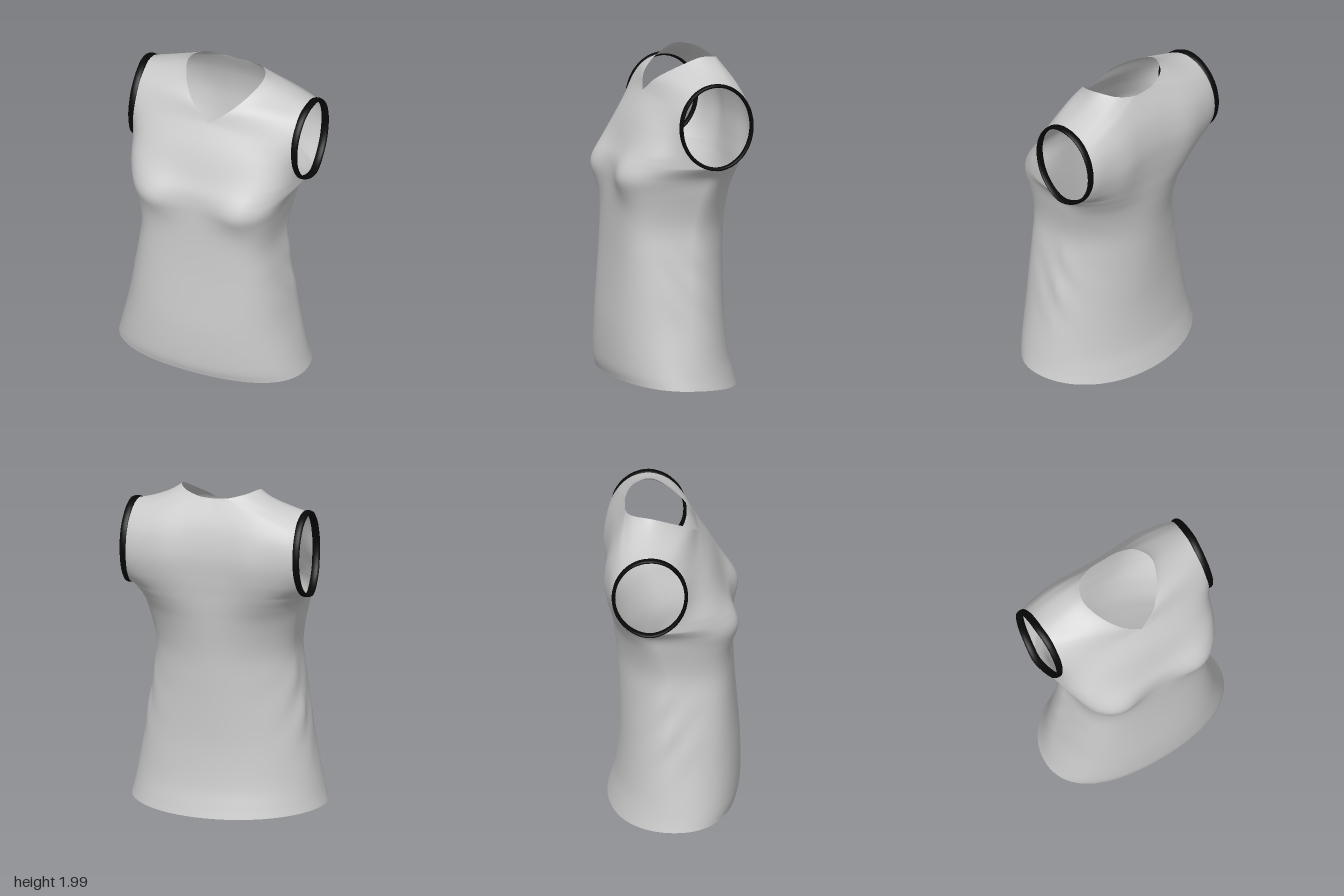
import * as THREE from 'three';
import { mergeVertices } from 'three/addons/utils/BufferGeometryUtils.js';

const V = (x, y, z) => new THREE.Vector3(x, y, z);
const { lerp, smoothstep, degToRad } = THREE.MathUtils;
const STEPS = 8;   // rows between two key sections
const COLS = 28;   // columns from side to centre

// Torso sections: height, half width, side z, front z, back z, front and back squareness
const TORSO = [
  [0.042, 0.6, 0.04, 0.385, -0.39, 0.63, 0.57],
  [0.1, 0.585, 0.04, 0.398, -0.372, 0.64, 0.57],
  [0.2, 0.563, 0.03, 0.403, -0.345, 0.66, 0.56],
  [0.4, 0.522, 0.01, 0.4, -0.322, 0.7, 0.54],
  [0.6, 0.489, 0, 0.385, -0.32, 0.75, 0.5],
  [0.8, 0.455, -0.01, 0.37, -0.325, 0.8, 0.47],
  [1.0, 0.432, -0.03, 0.36, -0.335, 0.84, 0.46],
  [1.2, 0.462, -0.08, 0.355, -0.36, 0.89, 0.49],
  [1.3, 0.488, -0.11, 0.352, -0.373, 0.92, 0.59],
  [1.373, 0.552, -0.14, 0.34, -0.38, 0.9, 0.69],
];
const BODY = TORSO.length - 1;

// Chest and back sections: armhole angle, armhole x, two handles, centre or neckline point
const SHOULDER = [180, 0.535, [0.45, 1.89, -0.14], [0.31, 1.935, -0.135], [0.245, 1.995, -0.13]];
const CHEST = [
  [40, 0.535, [0.485, 1.44, 0.27], [0.42, 1.46, 0.303], [0, 1.46, 0.303]],
  [75, 0.525, [0.45, 1.57, 0.195], [0.33, 1.61, 0.237], [0, 1.62, 0.237]],
  [110, 0.523, [0.43, 1.72, 0.12], [0.18, 1.76, 0.155], [0, 1.77, 0.152]],
  [145, 0.526, [0.42, 1.85, 0.025], [0.24, 1.885, 0.075], [0.115, 1.86, 0.105]],
  [163, 0.53, [0.43, 1.88, -0.055], [0.28, 1.92, -0.03], [0.21, 1.943, -0.01]],
  SHOULDER,
];
const UPPER_BACK = [
  [40, 0.541, [0.505, 1.44, -0.35], [0.33, 1.47, -0.39], [0, 1.48, -0.39]],
  [75, 0.537, [0.5, 1.57, -0.39], [0.29, 1.62, -0.394], [0, 1.63, -0.394]],
  [110, 0.537, [0.45, 1.73, -0.385], [0.25, 1.78, -0.365], [0, 1.79, -0.362]],
  [130, 0.536, [0.43, 1.815, -0.34], [0.2, 1.92, -0.305], [0, 1.955, -0.285]],
  [140, 0.535, [0.435, 1.84, -0.305], [0.23, 1.925, -0.29], [0.09, 1.962, -0.28]],
  [155, 0.535, [0.44, 1.87, -0.245], [0.3, 1.935, -0.235], [0.19, 1.985, -0.235]],
  SHOULDER,
];

function armhole(deg, x, dir) {
  const a = degToRad(deg);
  return V(x, 1.624 - 0.251 * Math.cos(a), -0.14 + dir * 0.217 * Math.sin(a));
}

// Four control points of a torso section, the hem dipping towards the back
function torsoSection([y, w, side, front, back, squareFront, squareBack], dir) {
  const depth = dir > 0 ? front : back;
  const k = dir > 0 ? squareFront : squareBack;
  const body = y < 1 ? w : Math.min(w, 0.5);
  const drop = (dir > 0 ? 0.03 : -0.042) * Math.max(0, 1 - y / 0.4);
  return [
    V(w, y, side),
    V(body, y + drop * 0.3, lerp(side, depth, k)),
    V(body * k, y + drop, depth),
    V(0, y + drop, depth),
  ];
}

const upperSection = ([deg, x, h1, h2, c], dir) => [armhole(deg, x, dir), V(...h1), V(...h2), V(...c)];

const bump = (x, y, cx, cy, rx, ry) => Math.exp(-(((x - cx) / rx) ** 2) - ((y - cy) / ry) ** 2);

// Bust, shoulder blades and the slanting folds at the waist
function drape(p, dir) {
  if (dir > 0) p.z += 0.05 * bump(p.x, p.y, 0.28, 1.3, 0.15, 0.13) * smoothstep(p.z, -0.1, 0.15);
  else p.z -= 0.02 * bump(p.x, p.y, 0.27, 1.56, 0.13, 0.25) * smoothstep(-p.z, 0.14, 0.32);
  const across = p.y - 0.62 - 1.5 * (p.z + 0.03);
  const fold = bump(p.z, p.y, -0.03, 0.65, 0.15, 0.22) * Math.cos(across * 22);
  if (p.x > 0.25) p.x += 0.005 * fold;
  return p;
}

// Smooth rail through key points, addressed by key number
function rail(points, start = 0) {
  const curve = new THREE.CatmullRomCurve3(points);
  return (s) => curve.getPoint((s - start) / (points.length - 1));
}

const torsoSide = rail(TORSO.map(([y, w, s]) => V(w, y, s)));

// Rows of points for half a panel, from the side or armhole to the centre or neckline
function panelRows(upper, other, dir) {
  const sections = [
    ...TORSO.map((s) => torsoSection(s, dir)),
    ...upper.map((s) => upperSection(s, dir)),
    upperSection(other[other.length - 2], -dir), // carries the curves over the shoulder
  ];
  const column = (k) => sections.map((s) => s[k]);
  const inner = rail(column(1)), outer = rail(column(2));
  const neck = sections.findLastIndex((s) => s[3].x === 0);
  const centreLine = rail(column(3).slice(0, neck + 1));
  const neckLine = rail(column(3).slice(neck), neck);
  const edgeKeys = [[0, TORSO[BODY][1]], ...upper];
  const armEdge = (s) => {
    const i = Math.min(Math.floor(s), upper.length - 1), f = s - i;
    const [a, b] = [edgeKeys[i], edgeKeys[i + 1]];
    return armhole(lerp(a[0], b[0], f), lerp(a[1], b[1], f), dir);
  };
  const rows = [];
  for (let r = 0; r <= (BODY + upper.length) * STEPS; r++) {
    const s = r / STEPS;
    const curve = new THREE.CubicBezierCurve3(
      s <= BODY ? torsoSide(s) : armEdge(s - BODY),
      inner(s),
      outer(s),
      s <= neck ? centreLine(s) : neckLine(s),
    );
    rows.push(curve.getPoints(COLS).map((p) => drape(p, dir)));
  }
  return rows;
}

// Surface from one or more grids of points; each grid may be flipped
function surface(grids) {
  const pos = [], index = [];
  for (const { rows, mirror, flip } of grids) {
    const base = pos.length / 3, n = rows[0].length;
    rows.forEach((row) => row.forEach((p) => pos.push(p.x * mirror, p.y, p.z)));
    for (let r = 0; r < rows.length - 1; r++) {
      for (let i = 0; i < n - 1; i++) {
        const a = base + r * n + i, b = a + 1, c = a + n, d = c + 1;
        if (flip) index.push(a, b, c, b, d, c);
        else index.push(a, c, b, b, c, d);
      }
    }
  }
  let g = new THREE.BufferGeometry();
  g.setAttribute('position', new THREE.Float32BufferAttribute(pos, 3));
  g.setIndex(index);
  g = mergeVertices(g, 1e-4);
  g.computeVertexNormals();
  return g;
}

// Flattened ring around the armhole edge
function bandRows(edge) {
  const loop = new THREE.CatmullRomCurve3(edge, true);
  const rows = [];
  for (let r = 0; r <= 96; r++) {
    const p = loop.getPoint((r % 96) / 96);
    const out = V(0, p.y - 1.624, p.z + 0.14).normalize();
    const row = [];
    for (let i = 0; i <= 12; i++) {
      const a = ((i % 12) / 12) * Math.PI * 2;
      const q = p.clone().addScaledVector(out, 0.011 * Math.sin(a));
      q.x += 0.003 + 0.024 * Math.cos(a);
      row.push(q);
    }
    rows.push(row);
  }
  return rows;
}

export function createModel() {
  const group = new THREE.Group();
  group.name = 'sleevelessTop';
  const cloth = new THREE.MeshStandardMaterial({ color: 0xcccccc, side: THREE.DoubleSide });
  const trim = new THREE.MeshStandardMaterial({ color: 0x080808, side: THREE.DoubleSide });
  const add = (name, geometry, material) => {
    const mesh = new THREE.Mesh(geometry, material);
    mesh.name = name;
    group.add(mesh);
  };

  // Front and back panels, sewn at the sides and shoulders
  const front = panelRows(CHEST, UPPER_BACK, 1);
  const back = panelRows(UPPER_BACK, CHEST, -1);
  add('body', surface([
    { rows: front, mirror: 1, flip: false },
    { rows: front, mirror: -1, flip: true },
    { rows: back, mirror: 1, flip: true },
    { rows: back, mirror: -1, flip: false },
  ]), cloth);

  // Armhole bands
  const edgeOf = (rows) => rows.slice(BODY * STEPS).filter((_, i) => i % 4 === 0).map((row) => row[0]);
  const band = bandRows([...edgeOf(front), ...edgeOf(back).reverse().slice(1, -1)]);
  add('leftArmBand', surface([{ rows: band, mirror: 1, flip: true }]), trim);
  add('rightArmBand', surface([{ rows: band, mirror: -1, flip: false }]), trim);
  return group;
}
